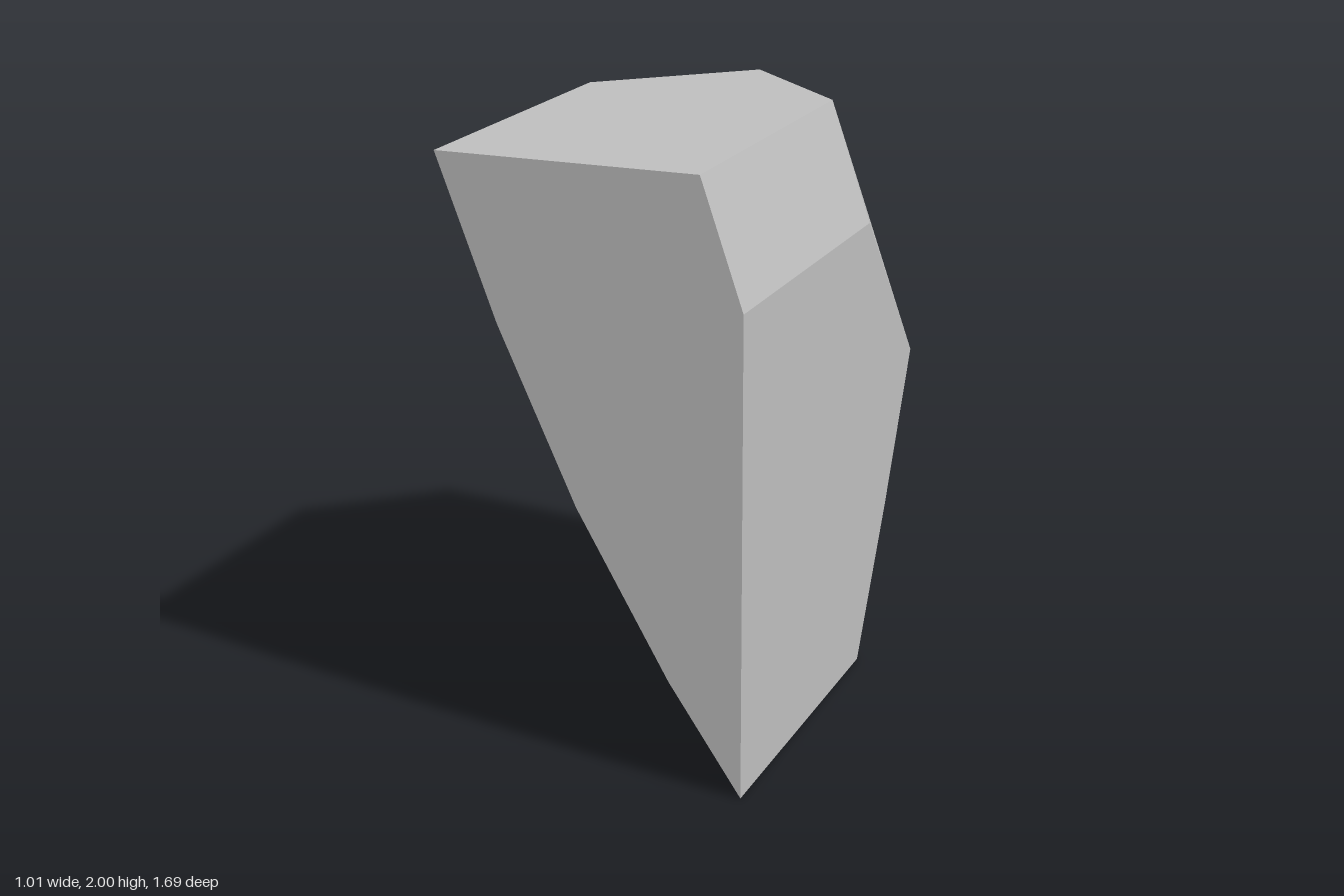
import * as THREE from 'three';
import { ConvexGeometry } from 'three/addons/geometries/ConvexGeometry.js';

const FRONT = 0.845;   // z of the flat front face
const BEND = -0.305;   // z where the curved underside turns towards the back

export function createModel() {
  const group = new THREE.Group();
  const stone = new THREE.MeshStandardMaterial({ color: 0xc0c0c0 });
  const points = [];
  const add = (x, y, z) => points.push(new THREE.Vector3(x, y, z));

  // curved underside, swept straight from front to back
  const underside = [[-0.51, 2], [-0.31, 1.47], [-0.05, 0.9], [0.26, 0.36], [0.505, 0]];
  for (const [x, y] of underside) {
    add(x, y, FRONT);
    add(x, y, BEND);
  }

  // bevel along the top of the flat side
  for (const [x, y] of [[0.365, 2], [0.505, 1.59]]) {
    add(x, y, FRONT);
    add(x, y, -0.335);
  }

  // slanted back: top corner, gentle arc, rear tip and lower edge
  const back = [
    [-0.05, 2, -0.745], [0, 1.77, -0.72], [0.12, 1.5, -0.72],
    [0.29, 1.22, -0.77], [0.505, 1, -0.845], [0.505, 0.49, -0.585],
  ];
  for (const p of back) add(...p);

  // all facets are outward facing, so the block is the hull of its outlines
  const block = new THREE.Mesh(new ConvexGeometry(points), stone);
  block.name = 'wedgeBlock';
  group.add(block);
  return group;
}
